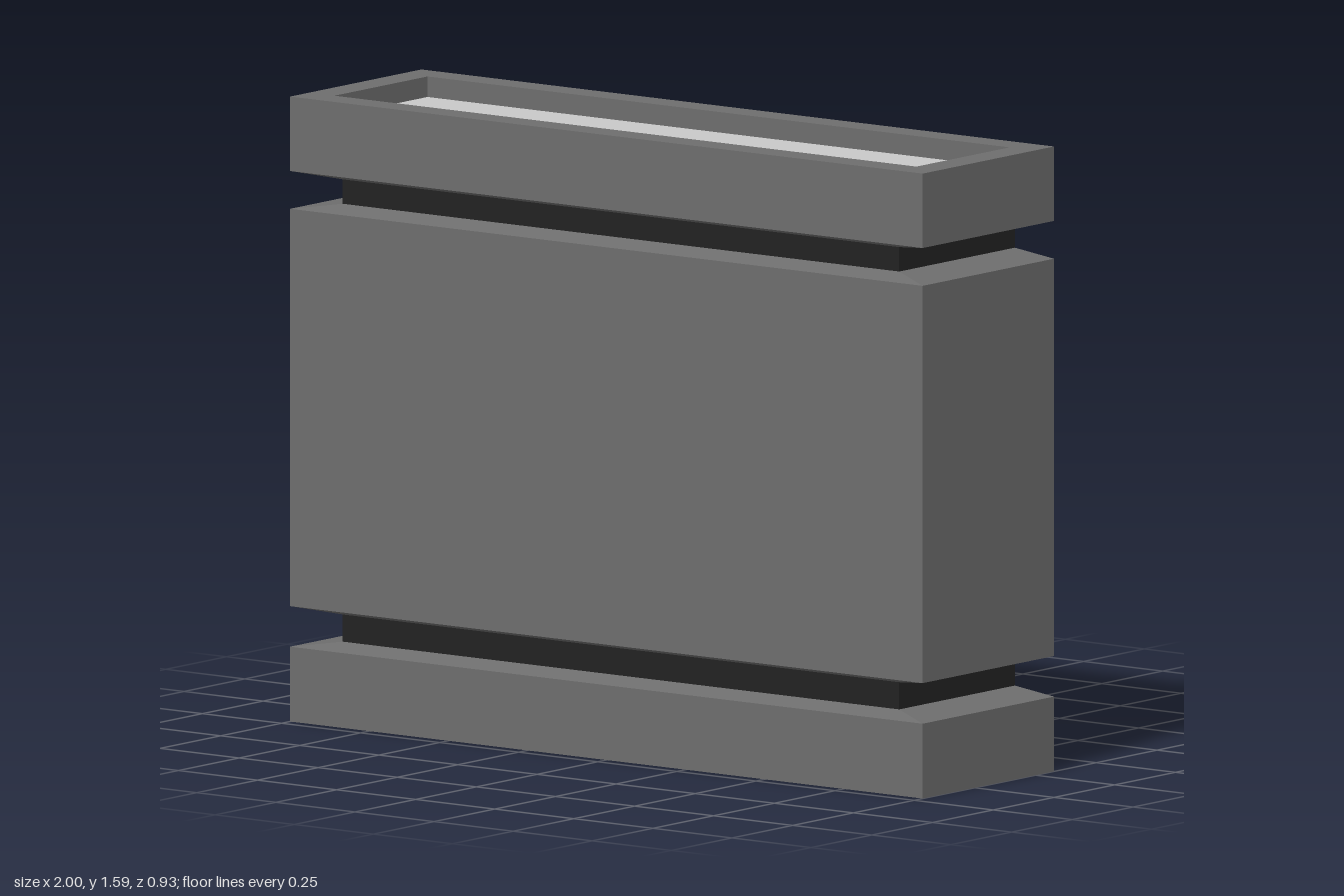
import * as THREE from 'three';

const body = new THREE.MeshStandardMaterial({ name: 'grey casing', color: 0x6d6d6d });
const dark = new THREE.MeshStandardMaterial({ name: 'dark groove', color: 0x222222 });
const light = new THREE.MeshStandardMaterial({ name: 'light panel', color: 0xc8c8c8 });

// Rectangular outlines: half width, back z, front z
const OUTER = [1, -0.076, 0.465];
const INSET = [0.88, -0.071, 0.405];
const RECESS = [0.92, 0.003, 0.386];

// Skins a stack of rectangular rings [y, outline] with flat faces
function loft(name, rings, material) {
  const corners = ([y, [hx, back, front]]) => [
    [hx, y, front], [hx, y, back], [-hx, y, back], [-hx, y, front],
  ];
  const positions = [];
  for (let r = 0; r < rings.length - 1; r++) {
    const low = corners(rings[r]);
    const high = corners(rings[r + 1]);
    for (let i = 0; i < 4; i++) {
      const j = (i + 1) % 4;
      positions.push(...low[i], ...low[j], ...high[j], ...low[i], ...high[j], ...high[i]);
    }
  }
  const geometry = new THREE.BufferGeometry();
  geometry.setAttribute('position', new THREE.Float32BufferAttribute(positions, 3));
  geometry.computeVertexNormals();
  const mesh = new THREE.Mesh(geometry, material);
  mesh.name = name;
  return mesh;
}

// Flat panel filling the recess, facing up (1) or down (-1)
function panel(name, y, facing) {
  const [hx, back, front] = RECESS;
  const mesh = new THREE.Mesh(new THREE.PlaneGeometry(hx * 2, front - back), light);
  mesh.rotation.x = -facing * Math.PI / 2;
  mesh.position.set(0, y, (back + front) / 2);
  mesh.name = name;
  return mesh;
}

export function createModel() {
  const model = new THREE.Group();
  model.name = 'casing';

  // Bottom band with its recessed underside
  model.add(loft('bottomBand', [
    [0.05, RECESS], [0, RECESS], [0, OUTER], [0.19, OUTER], [0.207, INSET],
  ], body));

  // Main housing with sloped lips
  model.add(loft('mainHousing', [
    [0.276, INSET], [0.293, OUTER], [1.302, OUTER], [1.319, INSET],
  ], body));

  // Top band with its recessed rim
  model.add(loft('topBand', [
    [1.381, INSET], [1.398, OUTER], [1.587, OUTER], [1.587, RECESS], [1.535, RECESS],
  ], body));

  // Dark grooves between the bands
  model.add(loft('lowerGroove', [[0.207, INSET], [0.276, INSET]], dark));
  model.add(loft('upperGroove', [[1.319, INSET], [1.381, INSET]], dark));

  // Light panels in both recesses
  model.add(panel('topPanel', 1.535, 1));
  model.add(panel('bottomPanel', 0.05, -1));

  // Box on the back
  const box = new THREE.Mesh(new THREE.BoxGeometry(1.19, 0.61, 0.389), body);
  box.position.set(0, 0.795, -0.2705);
  box.name = 'backBox';
  model.add(box);

  return model;
}
